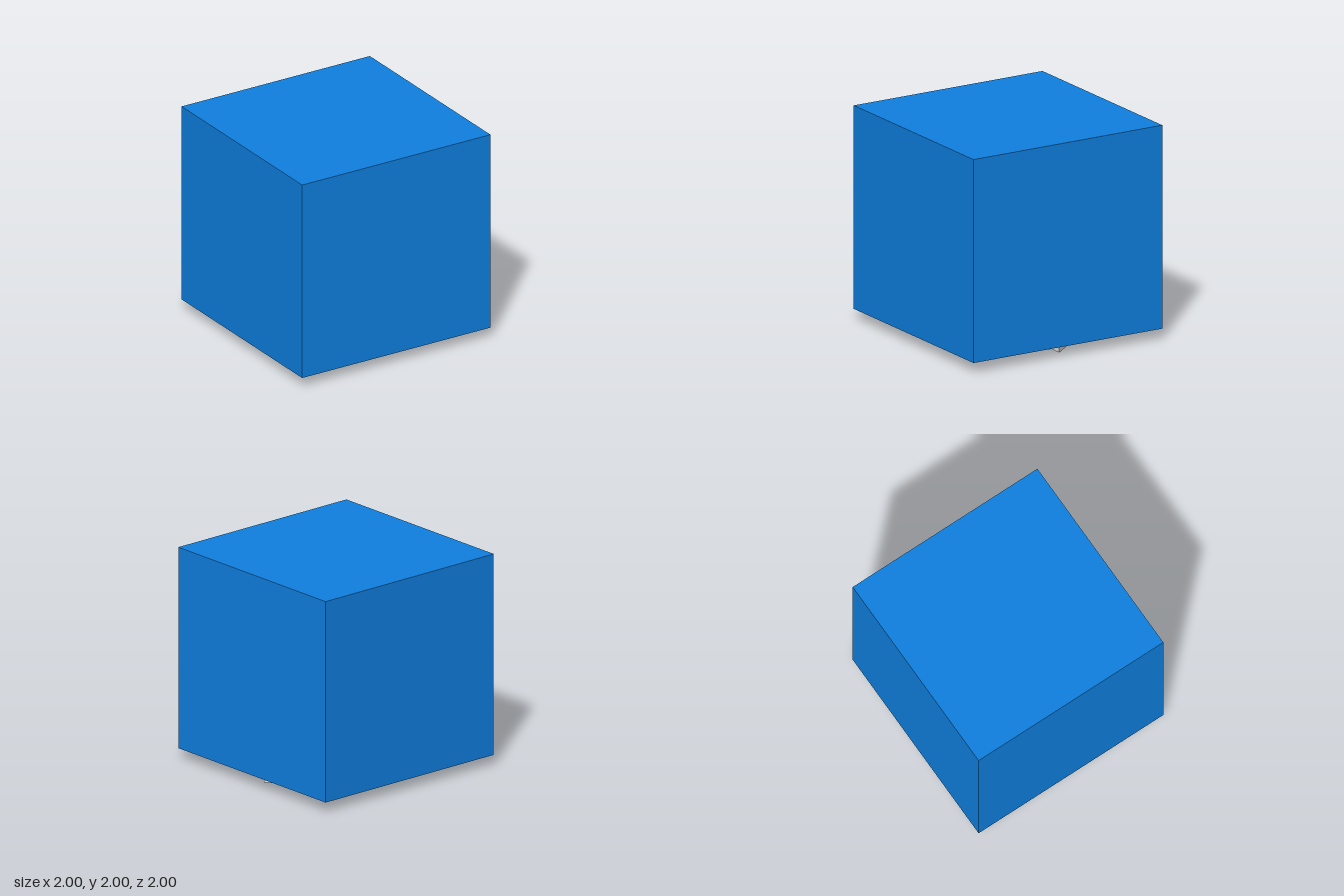
import * as THREE from 'three';

const BODY_BOTTOM = 0.1;

// Flat curved arrow: a 120 degree band in 30 degree steps, ending in a triangular head
function arrowGeometry() {
  const outer = 0.727, inner = 0.55, steps = 4;
  const at = (r, i) => {
    const a = (i * Math.PI) / 6;
    return new THREE.Vector2(r * Math.cos(a), -r * Math.sin(a));
  };
  const points = [];
  for (let i = steps; i >= 0; i--) points.push(at(outer, i));
  points.push(
    new THREE.Vector2(0.855, 0),
    new THREE.Vector2(0.635, 0.27),
    new THREE.Vector2(0.43, 0),
  );
  for (let i = 0; i <= steps; i++) points.push(at(inner, i));
  const geometry = new THREE.ExtrudeGeometry(new THREE.Shape(points), {
    depth: BODY_BOTTOM,
    bevelEnabled: false,
  });
  return geometry.rotateX(-Math.PI / 2);
}

export function createModel() {
  const blue = new THREE.MeshStandardMaterial({ color: 0x0f80e0 });
  blue.name = 'blue';
  const lightGrey = new THREE.MeshStandardMaterial({ color: 0xdedede });
  lightGrey.name = 'light grey';

  const model = new THREE.Group();
  model.name = 'cubeWithArrows';
  const add = (name, geometry, material) => {
    const mesh = new THREE.Mesh(geometry, material);
    mesh.name = name;
    model.add(mesh);
    return mesh;
  };

  // Main cube
  add('body', new THREE.BoxGeometry(2, 2 - BODY_BOTTOM, 2), blue)
    .position.y = (2 + BODY_BOTTOM) / 2;

  // Twelve-sided hub under the cube
  const hub = new THREE.CylinderGeometry(0.25, 0.25, BODY_BOTTOM, 12).toNonIndexed();
  hub.computeVertexNormals();
  add('hub', hub, lightGrey).position.y = BODY_BOTTOM / 2;

  // Two arrows circling the hub, half a turn apart
  const arrow = arrowGeometry();
  ['leftArrow', 'rightArrow'].forEach((name, i) => {
    add(name, arrow, lightGrey).rotation.y = i * Math.PI;
  });

  return model;
}
